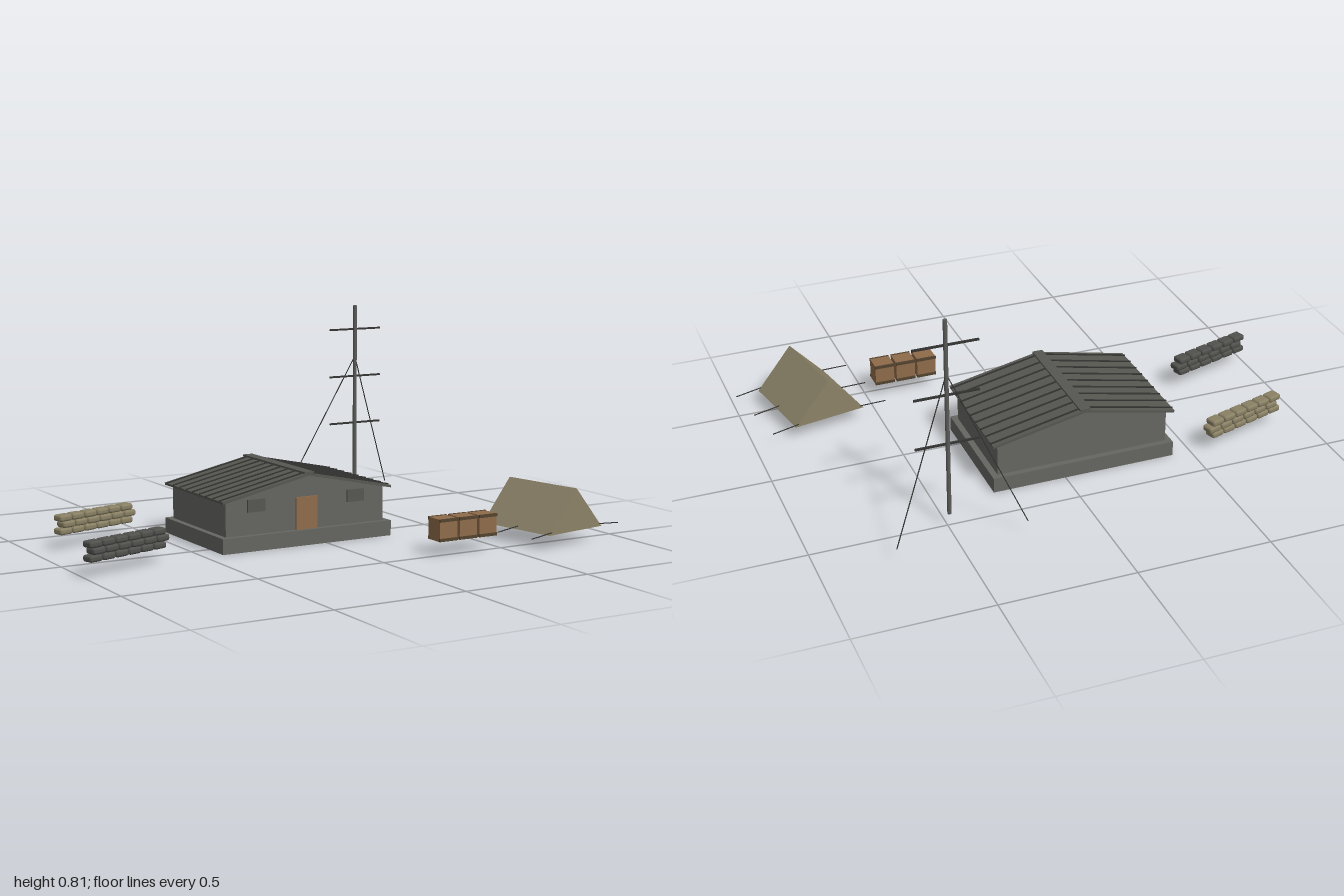
import * as THREE from 'three';
import { RoundedBoxGeometry } from 'three/addons/geometries/RoundedBoxGeometry.js';

const mat = (name, color) => {
  const m = new THREE.MeshStandardMaterial({ color });
  m.name = name;
  return m;
};

export function createModel() {
  const M = {
    concrete: mat('concrete grey', 0x656661),
    roof: mat('roof grey', 0x565751),
    dark: mat('dark trim', 0x343532),
    wood: mat('wood brown', 0x8f6b4b),
    woodDark: mat('dark wood', 0x54432f),
    canvas: mat('canvas tan', 0x8b8267),
    sand: mat('sandbag tan', 0x898064),
    slate: mat('sandbag grey', 0x50514d),
    metal: mat('mast grey', 0x5c5d5a),
  };
  const root = new THREE.Group();
  root.name = 'outpost';
  const GROUND = 0.053;

  const group = (name, x = 0, y = 0, z = 0, ry = 0) => {
    const g = new THREE.Group();
    g.name = name;
    g.position.set(x, y, z);
    g.rotation.y = ry;
    root.add(g);
    return g;
  };
  const add = (parent, name, geo, m, x = 0, y = 0, z = 0) => {
    const mesh = new THREE.Mesh(geo, m);
    mesh.name = name;
    mesh.position.set(x, y, z);
    parent.add(mesh);
    return mesh;
  };
  const box = (p, name, m, w, h, d, x, y, z) =>
    add(p, name, new THREE.BoxGeometry(w, h, d), m, x, y, z);
  // thin round rod between two points
  const rod = (p, name, m, r, a, b) => {
    const A = new THREE.Vector3(...a), B = new THREE.Vector3(...b);
    const mesh = add(p, name, new THREE.CylinderGeometry(r, r, A.distanceTo(B), 6), m);
    mesh.position.copy(A).lerp(B, 0.5);
    mesh.quaternion.setFromUnitVectors(new THREE.Vector3(0, 1, 0), B.sub(A).normalize());
  };
  // triangular prism along z, with its base centred on the origin
  const prism = (w, h, d) => {
    const s = new THREE.Shape([[-w / 2, 0], [w / 2, 0], [0, h]].map(q => new THREE.Vector2(...q)));
    return new THREE.ExtrudeGeometry(s, { depth: d, bevelEnabled: false }).translate(0, 0, -d / 2);
  };

  // Hut: plinth, walls, gable, door and windows
  const hut = group('hut', -0.075, 0, -0.127);
  box(hut, 'plinth', M.concrete, 0.705, 0.057, 0.472, 0, 0.0285, 0);
  box(hut, 'walls', M.concrete, 0.66, 0.133, 0.427, 0, 0.1235, 0);
  add(hut, 'gable', prism(0.65, 0.068, 0.427), M.concrete, 0, 0.19, 0);
  box(hut, 'door', M.wood, 0.09, 0.12, 0.008, 0, 0.117, 0.217);
  for (const s of [-1, 1]) box(hut, 'window', M.roof, 0.072, 0.046, 0.009, s * 0.208, 0.163, 0.217);

  // Pitched roof with raised seams and a ridge cap
  const slope = Math.atan2(0.075, 0.352), len = 0.361;
  for (const s of [-1, 1]) {
    const side = new THREE.Group();
    side.name = 'roofSlope';
    side.position.set(s * 0.176, 0.2235, 0);
    side.rotation.z = -s * slope;
    hut.add(side);
    box(side, 'roofPanel', M.roof, len, 0.009, 0.472, 0, 0, 0);
    for (let i = 0; i < 9; i++)
      box(side, 'roofSeam', M.dark, len, 0.005, 0.006, 0, 0.006, (i - 4) * 0.0535);
  }
  box(hut, 'ridgeCap', M.roof, 0.04, 0.007, 0.472, 0, 0.267, 0);

  // Mast with crossbars and two guy wires
  const mast = group('mast', 0.495, 0, -0.508);
  add(mast, 'pole', new THREE.CylinderGeometry(0.008, 0.008, 0.757, 8), M.metal, 0, 0.4315, 0);
  for (const y of [0.335, 0.525, 0.715]) box(mast, 'crossbar', M.dark, 0.235, 0.007, 0.007, 0, y, 0);
  for (const s of [-1, 1])
    rod(mast, 'guyWire', M.dark, 0.002, [0, 0.605, 0], [s * 0.237, GROUND, -0.143]);

  // Tent with pegged ropes
  const tent = group('tent', 0.732, GROUND, 0.437, 0.19);
  add(tent, 'tentCanvas', prism(0.284, 0.157, 0.33), M.canvas);
  for (const s of [-1, 1]) for (const z of [-0.165, 0, 0.165])
    rod(tent, 'tentRope', M.dark, 0.002, [s * 0.13, 0.01, z], [s * 0.236, 0.001, z]);

  // Row of crates with dark battens
  for (let i = 0; i < 3; i++) {
    const crate = group('crate', 0.258 + i * 0.085, GROUND, 0.484);
    box(crate, 'crateBody', M.wood, 0.075, 0.08, 0.072, 0, 0.04, 0);
    for (const s of [-1, 1]) for (const y of [0.006, 0.076])
      box(crate, 'crateBatten', M.woodDark, 0.077, 0.011, 0.006, 0, y, s * 0.036);
  }

  // Two sandbag walls, three staggered courses each
  const bag = new RoundedBoxGeometry(0.055, 0.024, 0.047, 2, 0.009);
  const bagWall = (name, m, x, z) => {
    const w = group(name, x, GROUND, z, 0.295);
    for (let row = 0; row < 3; row++) for (let i = 0; i < 6; i++)
      add(w, 'sandbag', bag, m, (i - 2.5) * 0.058 + (row === 1 ? 0.015 : 0), 0.012 + row * 0.0245, 0);
  };
  bagWall('greySandbagWall', M.slate, -0.826, 0.152);
  bagWall('tanSandbagWall', M.sand, -0.735, -0.325);

  return root;
}
